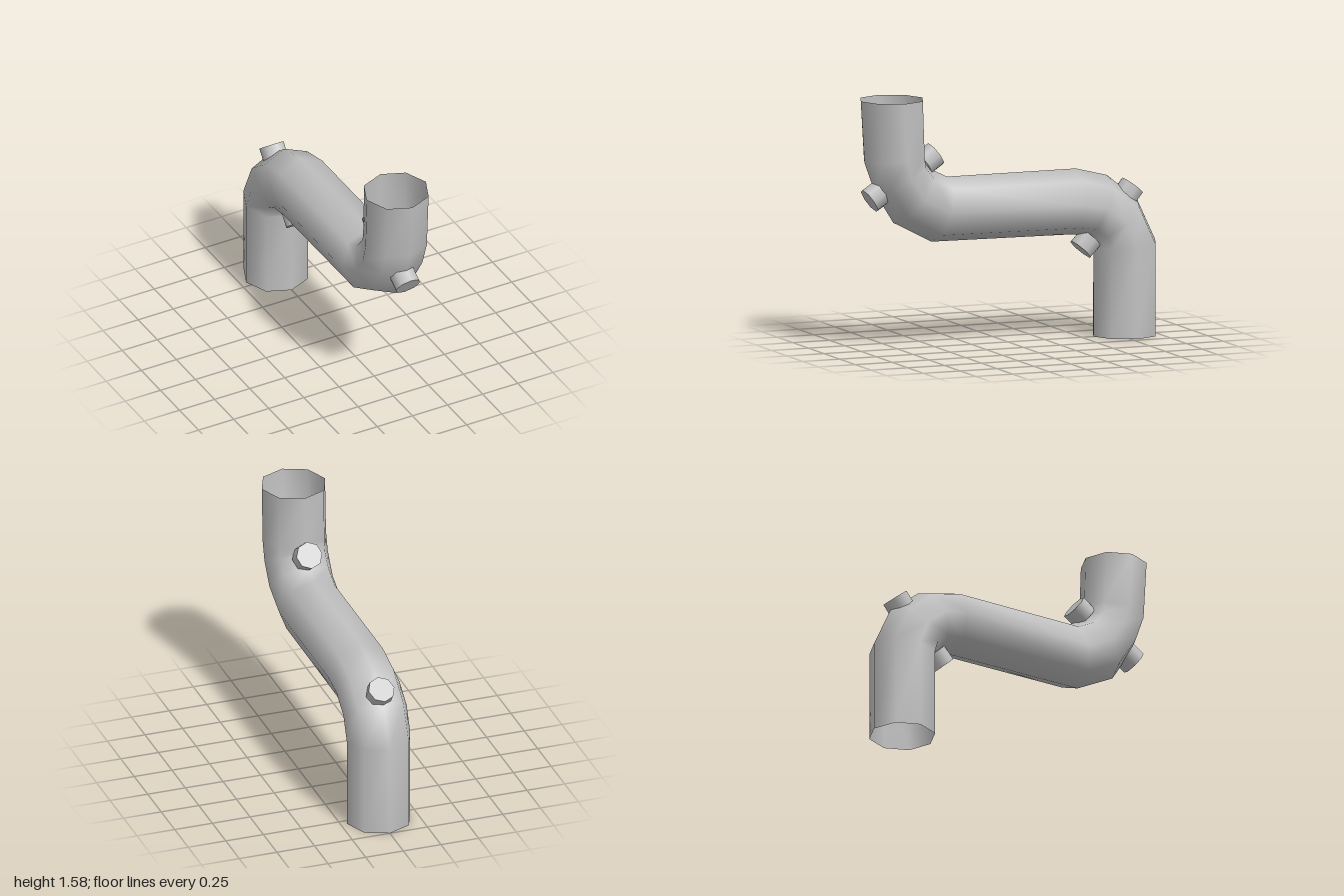
import * as THREE from 'three';

const SIDES = 8;
const RADIUS = 0.21;

// Pipe rings from the raised front end to the back foot:
// [z, y] of the front/under edge, then [z, y] of the back/upper edge
const RINGS = [
  [1.0, 1.58, 0.58, 1.58],
  [0.975, 1.19, 0.57, 1.24],
  [0.905, 1.0, 0.573, 1.185],
  [0.78, 0.8, 0.515, 1.12],
  [0.52, 0.665, 0.415, 1.07],
  [-0.42, 0.655, -0.46, 1.07],
  [-0.52, 0.645, -0.67, 1.017],
  [-0.575, 0.61, -0.875, 0.855],
  [-0.582, 0.56, -1.0, 0.59],
  [-0.58, 0, -1.0, 0],
];

// Plugs: centre of the outer face [z, y], then the outward direction [z, y]
const PLUGS = {
  frontOuterPlug: [0.941, 0.947, 0.84, -0.55],
  frontInnerPlug: [0.493, 1.22, -0.82, 0.57],
  backOuterPlug: [-0.845, 0.941, -0.625, 0.78],
  backInnerPlug: [-0.493, 0.556, 0.68, -0.74],
};

function pipeGeometry() {
  const positions = [];
  const index = [];
  RINGS.forEach(([z1, y1, z2, y2], i) => {
    for (let j = 0; j < SIDES; j++) {
      const angle = (j / SIDES) * Math.PI * 2;
      const c = Math.cos(angle) / 2;
      positions.push(
        RADIUS * Math.sin(angle),
        (y1 + y2) / 2 + (y1 - y2) * c,
        (z1 + z2) / 2 + (z1 - z2) * c
      );
      if (i === RINGS.length - 1) continue;
      const a = i * SIDES + j;
      const b = i * SIDES + ((j + 1) % SIDES);
      index.push(a, a + SIDES, b, b, a + SIDES, b + SIDES);
    }
  });
  const geometry = new THREE.BufferGeometry();
  geometry.setAttribute('position', new THREE.Float32BufferAttribute(positions, 3));
  geometry.setIndex(index);
  geometry.computeVertexNormals();
  return geometry;
}

export function createModel() {
  const model = new THREE.Group();
  model.name = 'bentPipe';
  const metal = new THREE.MeshStandardMaterial({ color: 0xc0c0c0, side: THREE.DoubleSide });
  metal.name = 'grey metal';

  // Open-ended pipe with two elbows
  const pipe = new THREE.Mesh(pipeGeometry(), metal);
  pipe.name = 'pipe';
  model.add(pipe);

  // Short plugs on the inside and outside of each elbow
  const length = 0.1;
  const plugGeometry = new THREE.CylinderGeometry(0.085, 0.085, length, SIDES);
  plugGeometry.translate(0, -length / 2, 0);
  const up = new THREE.Vector3(0, 1, 0);
  for (const [name, [z, y, dz, dy]] of Object.entries(PLUGS)) {
    const plug = new THREE.Mesh(plugGeometry, metal);
    plug.name = name;
    plug.position.set(0, y, z);
    plug.quaternion.setFromUnitVectors(up, new THREE.Vector3(0, dy, dz).normalize());
    model.add(plug);
  }
  return model;
}
